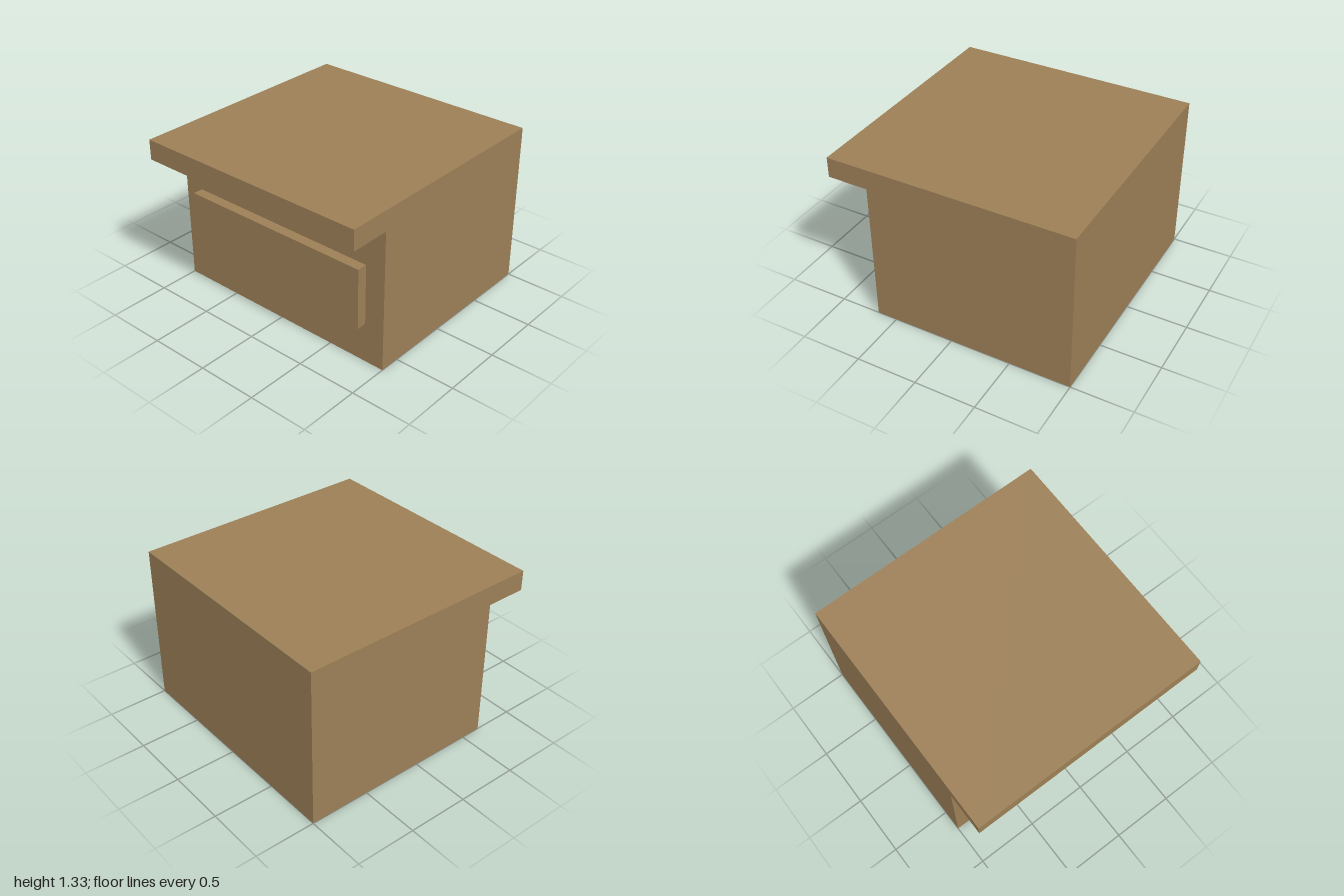
import * as THREE from 'three';

export function createModel() {
  const model = new THREE.Group();
  model.name = 'nightstand';
  const wood = new THREE.MeshStandardMaterial({ color: 0x9c7f57 });
  wood.name = 'brown wood';

  // Cabinet with overhanging top: side profile as (z, y), extruded across the width
  const width = 2, height = 1.333, topUnderside = 1.167;
  const back = -1, front = 0.667, overhang = 1;
  const profile = new THREE.Shape([
    [back, 0], [front, 0], [front, topUnderside],
    [overhang, topUnderside], [overhang, height], [back, height],
  ].map(([z, y]) => new THREE.Vector2(z, y)));
  const cabinetGeometry = new THREE.ExtrudeGeometry(profile, { depth: width, bevelEnabled: false });
  cabinetGeometry.translate(0, 0, -width / 2).rotateY(-Math.PI / 2);
  const cabinet = new THREE.Mesh(cabinetGeometry, wood);
  cabinet.name = 'cabinet';
  model.add(cabinet);

  // Raised drawer front
  const drawerDepth = 0.083;
  const drawer = new THREE.Mesh(new THREE.BoxGeometry(1.667, 0.5, drawerDepth), wood);
  drawer.name = 'drawerFront';
  drawer.position.set(0, 0.583, front + drawerDepth / 2);
  model.add(drawer);

  return model;
}
